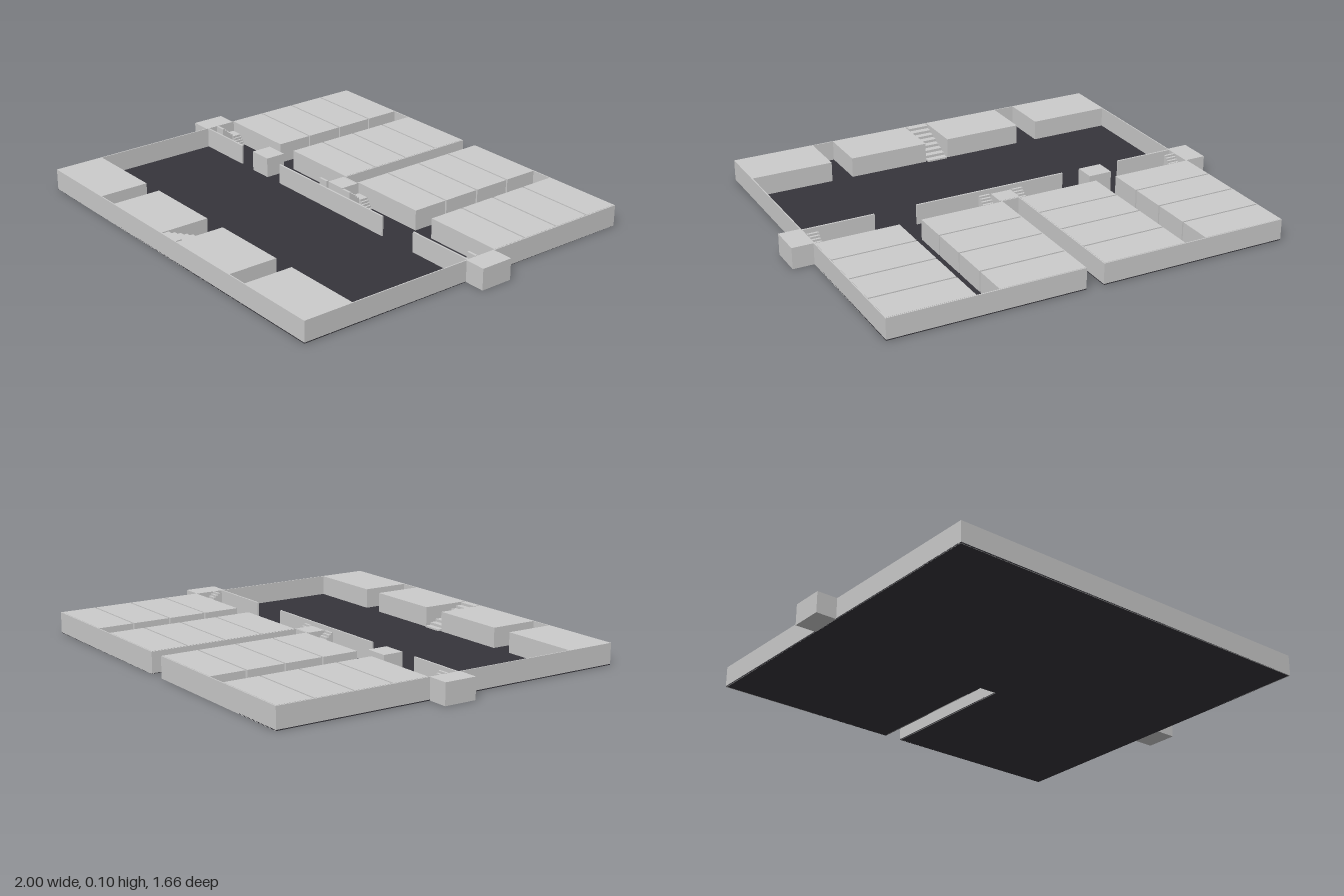
import * as THREE from 'three';

const H = 0.095; // wall height
const X = 0.905, Z = 0.83, T = 0.005; // outer half width, half depth, wall thickness
const NOTCH_X = 0.04, NOTCH_Z = -0.125;

export function createModel() {
  const model = new THREE.Group();
  const grey = new THREE.MeshStandardMaterial({ color: 0xcccccc, flatShading: true });
  const dark = new THREE.MeshStandardMaterial({ color: 0x36353b, flatShading: true });

  // Box given by its limits in x, z and y
  function block(name, x0, x1, z0, z1, y1 = H, y0 = 0.002, parent = model) {
    const mesh = new THREE.Mesh(new THREE.BoxGeometry(x1 - x0, y1 - y0, z1 - z0), grey);
    mesh.position.set((x0 + x1) / 2, (y0 + y1) / 2, (z0 + z1) / 2);
    mesh.name = name;
    parent.add(mesh);
    return mesh;
  }
  // The same box on either side of the centre line
  function pair(name, x0, x1, z0, z1, y1, y0) {
    block(name + 'Left', x0, x1, z0, z1, y1, y0);
    block(name + 'Right', -x1, -x0, z0, z1, y1, y0);
  }

  // Floor slab, cut by the notch at the back
  const outline = new THREE.Shape([
    [-X, -Z], [X, -Z], [X, Z], [NOTCH_X, Z], [NOTCH_X, -NOTCH_Z],
    [-NOTCH_X, -NOTCH_Z], [-NOTCH_X, Z], [-X, Z],
  ].map(([x, y]) => new THREE.Vector2(x, y)));
  const slab = new THREE.ExtrudeGeometry(outline, { depth: 0.004, bevelEnabled: false });
  slab.rotateX(-Math.PI / 2);
  const floor = new THREE.Mesh(slab, dark);
  floor.name = 'floor';
  model.add(floor);

  // Thin walls around the outline
  block('frontWall', -X, X, Z - T, Z, H, 0);
  pair('sideWall', X - T, X, -Z, Z - T, H, 0);
  pair('backWall', NOTCH_X, X - T, -Z, -Z + T, H, 0);
  pair('notchWall', NOTCH_X, NOTCH_X + T, -Z + T, NOTCH_Z, H, 0);
  block('notchEndWall', -NOTCH_X - T, NOTCH_X + T, NOTCH_Z, NOTCH_Z + T, H, 0);

  // Rear rows of blocks, split by narrow seams and two aisles
  const rows = [[-Z + T, -0.664], [-0.656, -0.484], [-0.476, -0.304], [-0.296, -0.13]];
  rows.forEach(([z0, z1], i) => {
    pair(`rearInnerBlock${i}`, NOTCH_X + T, 0.425, z0, z1, H + 0.001);
    pair(`rearOuterBlock${i}`, 0.525, X - T, z0, z1, H + 0.001);
  });

  // Front blocks beside the aisles and the main stair
  pair('frontInnerBlock', 0.056, 0.425, 0.6, Z - T);
  pair('frontOuterBlock', 0.525, X - T, 0.6, Z - T);

  // Main stair, rising towards the front wall
  const stair = new THREE.Group();
  stair.name = 'mainStair';
  model.add(stair);
  const steps = 8, run = (Z - T - 0.59) / steps;
  for (let i = 0; i < steps; i++) {
    const z = 0.59 + i * run;
    block('step', -0.048, 0.048, z, z + run, H * (i + 1) / steps, 0.002, stair);
  }

  // Side projections
  pair('sideBay', X, 1, -0.125, 0.025, H, 0);

  // Dividing wall in three lengths
  [[-X + T, -0.625], [-0.335, 0.38], [0.575, X - T]].forEach(([a, b]) =>
    block('dividingWall', a, b, 0.01, 0.018));

  // Free-standing boxes
  block('crate', -0.535, -0.425, -0.075, 0.02);
  block('centreBox', -0.048, 0.048, -0.118, -0.035);

  // Small L-shaped stairs: a flight along the rear, turning at a wall
  function cornerStair(wallX, dir) {
    const group = new THREE.Group();
    group.name = 'cornerStair';
    model.add(group);
    const span = (a, b) => [wallX + dir * a, wallX + dir * b].sort((p, q) => p - q);
    const n = 5;
    for (let i = 0; i < n; i++) {
      const d = 0.09 - i * 0.008;
      const [a, b] = span(d - 0.008, d);
      block('lowerStep', a, b, -0.125, -0.085, 0.05 * (i + 1) / n, 0.002, group);
      const z = -0.085 + i * 0.011;
      const [c, e] = span(0, 0.05);
      block('upperStep', c, e, z, z + 0.011, 0.05 + 0.045 * (i + 1) / n, 0.002, group);
    }
    const [a, b] = span(0, 0.05);
    block('landing', a, b, -0.125, -0.085, 0.05, 0.002, group);
  }
  for (const s of [-1, 1]) {
    cornerStair(s * 0.055, s);
    cornerStair(s * 0.897, -s);
  }
  return model;
}
